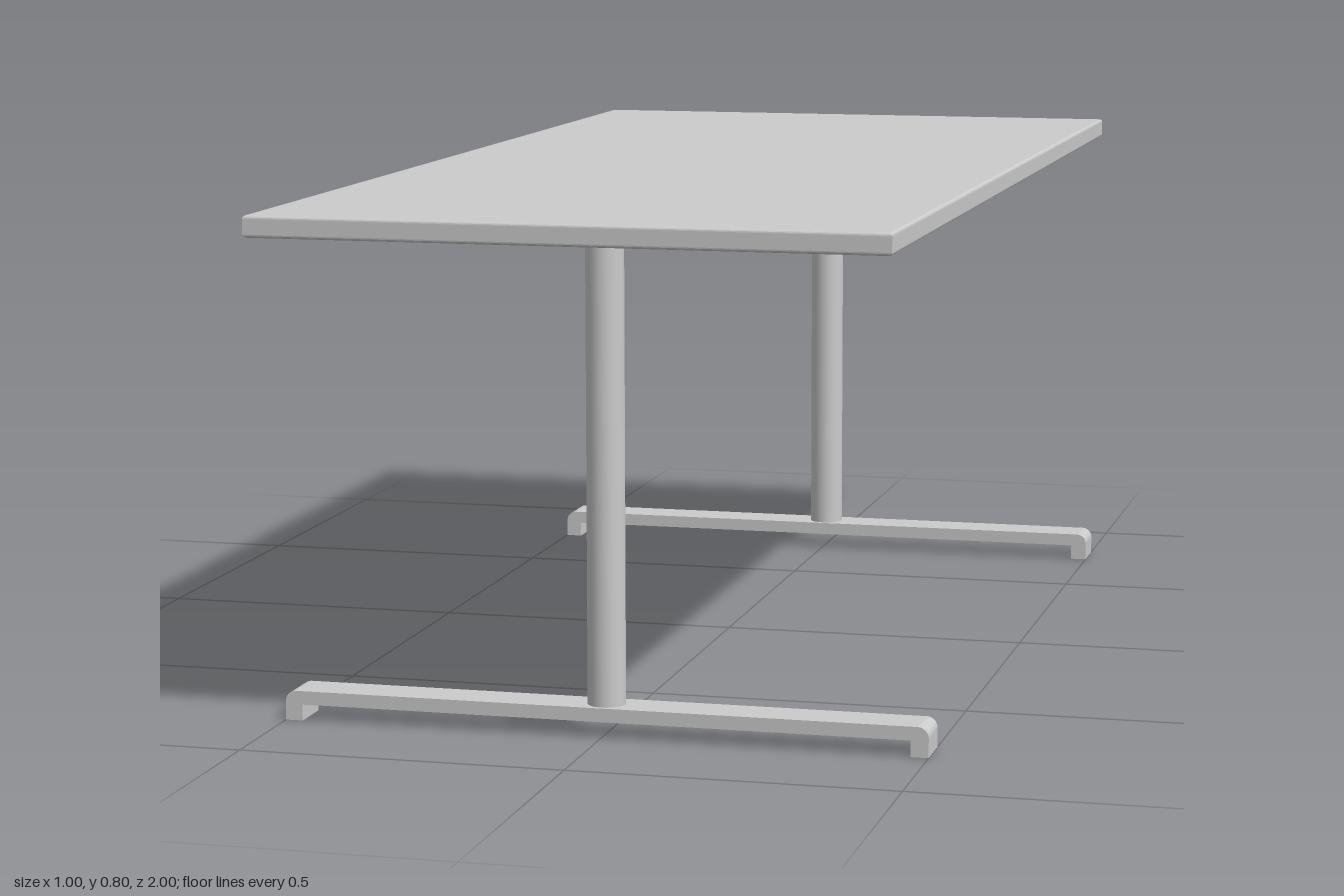
import * as THREE from 'three';

const material = new THREE.MeshStandardMaterial({ color: 0xcccccc });

function addMesh(parent, geometry, name, x = 0, y = 0, z = 0) {
  const mesh = new THREE.Mesh(geometry, material);
  mesh.name = name;
  mesh.position.set(x, y, z);
  parent.add(mesh);
  return mesh;
}

// Rectangular slab with softly rounded upper and lower edges and mitred corners
function tabletopGeometry(halfX, halfZ, thickness, round) {
  const shape = new THREE.Shape([
    new THREE.Vector2(-halfX, -halfZ), new THREE.Vector2(halfX, -halfZ),
    new THREE.Vector2(halfX, halfZ), new THREE.Vector2(-halfX, halfZ),
  ]);
  const geometry = new THREE.ExtrudeGeometry(shape, {
    depth: thickness - 2 * round,
    bevelThickness: round, bevelSize: round, bevelOffset: -round, bevelSegments: 4,
  });
  return geometry.rotateX(-Math.PI / 2).translate(0, round, 0);
}

// Flat bar with downturned ends and rounded outer shoulders
function footGeometry(half, height, underside, endWidth, round, width) {
  const inner = half - endWidth;
  const shape = new THREE.Shape();
  shape.moveTo(-half, 0);
  shape.lineTo(-inner, 0);
  shape.lineTo(-inner, underside);
  shape.lineTo(inner, underside);
  shape.lineTo(inner, 0);
  shape.lineTo(half, 0);
  shape.absarc(half - round, height - round, round, 0, Math.PI / 2);
  shape.absarc(-half + round, height - round, round, Math.PI / 2, Math.PI);
  shape.closePath();
  const geometry = new THREE.ExtrudeGeometry(shape, { depth: width, bevelEnabled: false, curveSegments: 8 });
  return geometry.translate(0, 0, -width / 2);
}

export function createModel() {
  const table = new THREE.Group();
  table.name = 'table';

  addMesh(table, tabletopGeometry(0.48, 1, 0.033, 0.005), 'tabletop', 0, 0.763, 0);

  // One T-shaped support near each end
  const foot = footGeometry(0.5, 0.046, 0.025, 0.027, 0.017, 0.07);
  const post = new THREE.CylinderGeometry(0.029, 0.029, 0.722, 32);
  for (const [side, z] of [['front', 0.769], ['back', -0.769]]) {
    const support = new THREE.Group();
    support.name = side + 'Support';
    support.position.z = z;
    addMesh(support, foot, side + 'Foot');
    addMesh(support, post, side + 'Post', 0, 0.044 + 0.361, 0);
    table.add(support);
  }
  return table;
}
